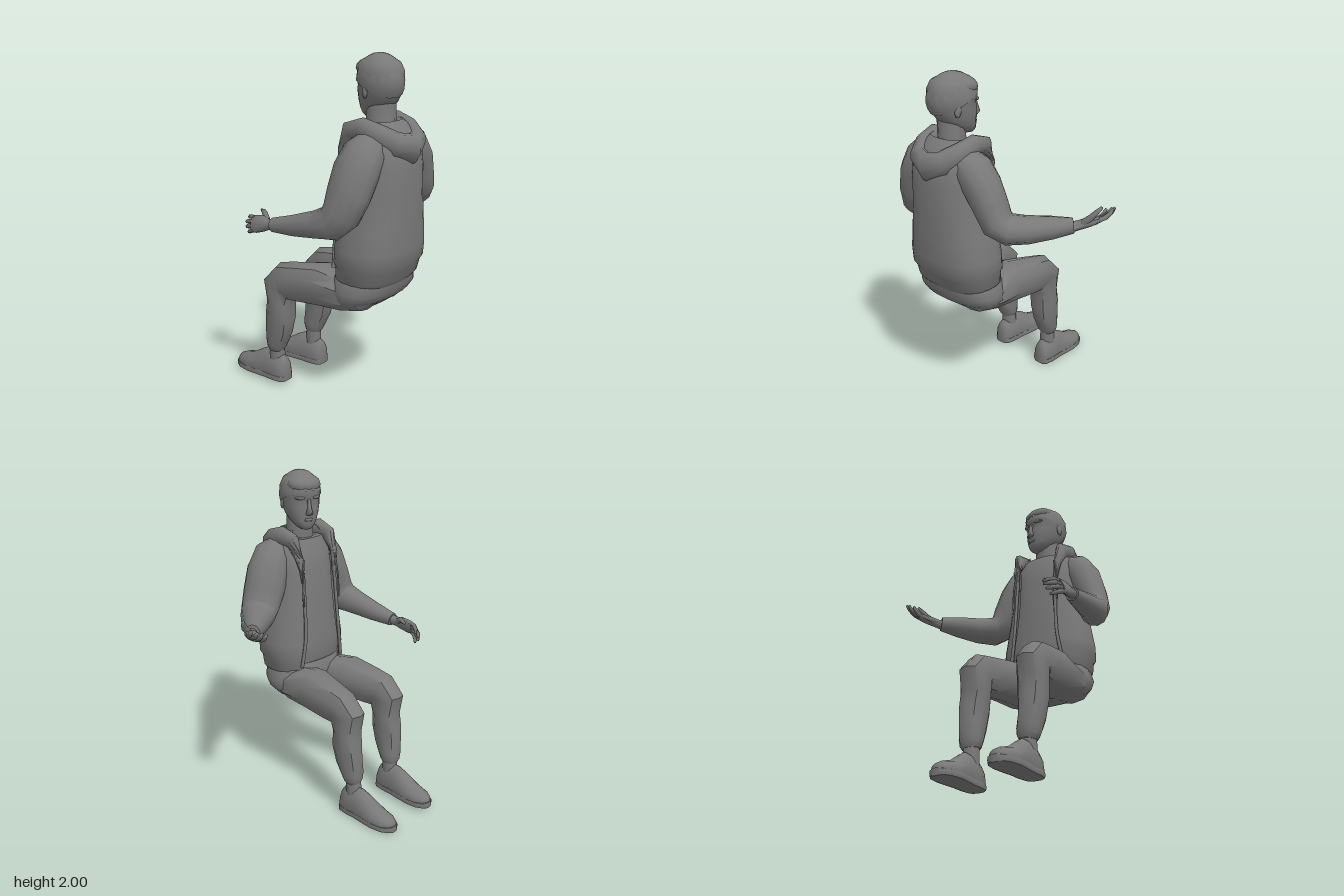
import * as THREE from 'three';
import { toCreasedNormals } from 'three/addons/utils/BufferGeometryUtils.js';

const V = (x, y, z) => new THREE.Vector3(x, y, z);
const CX = -0.18; // body centre line
const material = new THREE.MeshStandardMaterial({ color: 0x797979, side: THREE.DoubleSide });

function mesh(name, geo, crease = 0.8) {
  const m = new THREE.Mesh(toCreasedNormals(geo, crease), material);
  m.name = name;
  return m;
}

// Skin through stations [x, y, z, halfWidth, halfDepth, gap]; gap leaves the sheet open around angle PI/2.
function loft(stations, { side = V(1, 0, 0), axis = null, n = 12, p = 2, open = false } = {}) {
  const c = stations.map(s => V(s[0], s[1], s[2]));
  const pos = [], idx = [], cols = open ? n + 1 : n;
  stations.forEach((s, i) => {
    const t = axis ? axis.clone() : c[Math.min(i + 1, c.length - 1)].clone().sub(c[Math.max(i - 1, 0)]).normalize();
    const u = side.clone().addScaledVector(t, -side.dot(t)).normalize();
    const v = t.clone().cross(u);
    const gap = open ? s[5] : 0;
    for (let j = 0; j < cols; j++) {
      const a = Math.PI / 2 + gap + (j / n) * (2 * Math.PI - 2 * gap);
      const f = k => Math.sign(k) * Math.abs(k) ** (2 / p);
      const q = c[i].clone().addScaledVector(u, s[3] * f(Math.cos(a))).addScaledVector(v, s[4] * f(Math.sin(a)));
      pos.push(q.x, q.y, q.z);
    }
  });
  for (let i = 0; i < c.length - 1; i++) for (let j = 0; j < n; j++) {
    const k = (j + 1) % cols, a = i * cols + j, b = i * cols + k;
    idx.push(a, b, a + cols, b, b + cols, a + cols);
  }
  if (!open) {
    const s = pos.length / 3, e = s - cols;
    pos.push(...c[0].toArray(), ...c[c.length - 1].toArray());
    for (let j = 0; j < n; j++) {
      const k = (j + 1) % n;
      idx.push(s, k, j, s + 1, e + j, e + k);
    }
  }
  const g = new THREE.BufferGeometry();
  g.setAttribute('position', new THREE.Float32BufferAttribute(pos, 3));
  g.setIndex(idx);
  return g;
}

// Upright rings given as [y, halfWidth, zFront, zBack, gap]
const rings = (list, cx = CX, inset = 0) =>
  list.map(([y, w, f, b, gap]) => [cx, y, (f + b) / 2, w - inset, (b - f) / 2 - inset, gap]);
const UP = V(0, 1, 0);

function tube(name, pts, r, seg = 10) {
  return mesh(name, new THREE.TubeGeometry(new THREE.CatmullRomCurve3(pts), seg, r, 6), 1.5);
}

function makeTorso() {
  const g = new THREE.Group();
  g.name = 'torso';
  const body = [[0.775, 0.245, 0.17, 0.495, 0.55], [0.8, 0.268, 0.155, 0.515, 0.55], [0.865, 0.27, 0.15, 0.535, 0.5],
    [0.89, 0.284, 0.145, 0.55, 0.48], [0.97, 0.282, 0.147, 0.558, 0.45], [1.1, 0.26, 0.157, 0.56, 0.42],
    [1.25, 0.235, 0.167, 0.56, 0.42], [1.42, 0.225, 0.185, 0.56, 0.45], [1.52, 0.22, 0.205, 0.545, 0.55],
    [1.6, 0.18, 0.24, 0.51, 0.7], [1.655, 0.12, 0.285, 0.45, 0.9]];
  g.add(mesh('jacket', loft(rings(body), { axis: UP, n: 24, p: 2.4, open: true })));
  g.add(mesh('shirt', loft(rings(body.slice(1, 10), CX, 0.014), { axis: UP, n: 24, p: 2.4 })));
  g.add(mesh('hips', loft(rings([[0.605, 0.15, 0.2, 0.32], [0.635, 0.235, 0.17, 0.39], [0.68, 0.272, 0.15, 0.45],
    [0.73, 0.28, 0.14, 0.488], [0.79, 0.262, 0.14, 0.495], [0.84, 0.24, 0.16, 0.5]]), { axis: UP, n: 20, p: 2.4 }), 1.0));
  // hood lying round the neck and dropping to a point at the back
  const half = [[0.13, 1.36, 0.185, 0.012, 0.012], [0.145, 1.5, 0.2, 0.025, 0.02], [0.15, 1.605, 0.255, 0.05, 0.036],
    [0.157, 1.625, 0.34, 0.058, 0.045], [0.142, 1.59, 0.43, 0.066, 0.052], [0.092, 1.545, 0.51, 0.072, 0.056]];
  const hood = [...half.map(([d, ...r]) => [CX - d, ...r]), [CX, 1.515, 0.545, 0.085, 0.062],
    ...half.map(([d, ...r]) => [CX + d, ...r]).reverse()];
  g.add(mesh('hood', loft(hood, { side: V(0, 1, 0.25), n: 10 }), 1.0));
  for (const s of [-1, 1]) {
    // front edge and drawstring
    g.add(tube('jacketEdge', [V(CX + s * 0.13, 1.42, 0.187), V(CX + s * 0.135, 1.2, 0.167),
      V(CX + s * 0.145, 1.0, 0.153), V(CX + s * 0.17, 0.83, 0.16)], 0.011));
    g.add(tube('drawstring', [V(CX + s * 0.13, 1.5, 0.18), V(CX + s * 0.15, 1.36, 0.17), V(CX + s * 0.15, 1.22, 0.16)], 0.006, 6));
  }
  const collar = new THREE.TorusGeometry(0.085, 0.014, 6, 16).rotateX(Math.PI / 2 - 0.25).translate(CX, 1.605, 0.345);
  g.add(mesh('shirtCollar', collar, 1.5));
  return g;
}

function makeHead() {
  const g = new THREE.Group();
  g.name = 'head';
  g.position.set(CX, 0, 0.345);
  g.rotation.y = -0.35;
  g.add(mesh('neck', loft([[0, 1.52, 0.03, 0.1, 0.09], [0, 1.62, 0.01, 0.082, 0.078], [0, 1.77, 0.01, 0.078, 0.08]], { axis: UP, n: 12 })));
  g.add(mesh('face', loft(rings([[1.662, 0.03, -0.115, -0.05], [1.68, 0.055, -0.128, 0], [1.71, 0.078, -0.13, 0.05],
    [1.75, 0.096, -0.132, 0.095], [1.8, 0.108, -0.134, 0.125], [1.835, 0.112, -0.127, 0.135], [1.86, 0.116, -0.138, 0.14],
    [1.91, 0.114, -0.135, 0.138], [1.955, 0.095, -0.11, 0.115], [1.98, 0.05, -0.06, 0.07]], 0), { axis: UP, n: 16, p: 2.2 }), 1.0));
  const hair = new THREE.SphereGeometry(1, 14, 8, 0, Math.PI * 2, 0, Math.PI * 0.56).scale(0.122, 0.141, 0.148).rotateX(0.42);
  g.add(mesh('hair', hair.translate(0, 1.859, 0), 1.0));
  g.add(mesh('fringe', new THREE.SphereGeometry(1, 12, 8).scale(0.104, 0.055, 0.085).rotateX(-0.2).translate(0, 1.925, -0.058), 1.0));
  // nose widens from bridge to tip
  g.add(mesh('nose', loft([[0, 1.752, -0.132, 0.02, 0.014], [0, 1.765, -0.138, 0.02, 0.026],
    [0, 1.8, -0.133, 0.012, 0.02], [0, 1.845, -0.128, 0.01, 0.012]], { axis: UP, n: 6 }), 1.5));
  g.add(mesh('lips', new THREE.SphereGeometry(1, 8, 5).scale(0.03, 0.011, 0.01).translate(0, 1.722, -0.127), 1.5));
  for (const s of [-1, 1]) {
    g.add(mesh('ear', new THREE.SphereGeometry(1, 8, 6).scale(0.01, 0.034, 0.02).rotateX(-0.2).translate(s * 0.109, 1.805, 0.015), 1.5));
    g.add(mesh('brow', new THREE.SphereGeometry(1, 8, 5).scale(0.034, 0.01, 0.012).rotateY(s * -0.4).translate(s * 0.052, 1.852, -0.12), 1.5));
  }
  return g;
}

// One hand: fingers along local +z, palm facing +y, thumb on the given side; curl bends the fingers
function makeHand(wrist, forward, palm, thumb, curl) {
  const g = new THREE.Group();
  g.name = 'hand';
  const f = forward.clone().normalize();
  const x = palm.clone().cross(f).normalize();
  g.matrix.makeBasis(x, f.clone().cross(x), f).setPosition(wrist);
  g.matrix.decompose(g.position, g.quaternion, g.scale);
  g.add(mesh('palm', loft([[0, 0, -0.04, 0.032, 0.03], [0, 0, 0.01, 0.031, 0.027], [thumb * 0.004, 0.002, 0.05, 0.047, 0.028],
    [0, 0.002, 0.1, 0.052, 0.024], [0, 0.004, 0.13, 0.045, 0.016]], { n: 10 }), 1.0));
  [0.093, 0.112, 0.105, 0.08].forEach((len, i) => {
    const k = thumb * (1.5 - i), z = 0.112, r = 0.0135;
    g.add(mesh('finger', loft([[k * 0.024, 0, z, r, r], [k * 0.027, curl * 0.2, z + len * 0.45, r, r],
      [k * 0.028, curl * 0.6, z + len * 0.8, r * 0.9, r * 0.9], [k * 0.028, curl, z + len, r * 0.55, r * 0.55]], { n: 6 }), 1.5));
  });
  g.add(mesh('thumb', loft([[thumb * 0.022, 0.008, 0.03, 0.022, 0.022], [thumb * 0.06, 0.03, 0.068, 0.018, 0.018],
    [thumb * 0.078, 0.052, 0.1, 0.014, 0.014], [thumb * 0.088, 0.07, 0.132, 0.008, 0.008]], { n: 6 }), 1.5));
  return g;
}

function makeArm(name, stations, side, hand) {
  const g = new THREE.Group();
  g.name = name;
  g.add(mesh('sleeve', loft(stations, { side, n: 12 }), 1.0), hand);
  return g;
}

// s = -1 or 1 chooses the side; lift raises the shoe a little
function makeLeg(s, lift) {
  const g = new THREE.Group();
  g.name = s > 0 ? 'leftLeg' : 'rightLeg';
  const at = list => list.map(([d, ...r]) => [CX - 0.004 + s * d, ...r]);
  g.add(mesh('trouserLeg', loft(at([[0.12, 0.715, 0.42, 0.07, 0.045], [0.122, 0.705, 0.36, 0.12, 0.088], [0.135, 0.7, 0.24, 0.135, 0.105],
    [0.15, 0.708, 0.07, 0.122, 0.125], [0.17, 0.687, -0.1, 0.1, 0.118], [0.178, 0.675, -0.19, 0.088, 0.113],
    [0.178, 0.64, -0.228, 0.083, 0.113], [0.178, 0.54, -0.23, 0.084, 0.08], [0.182, 0.45, -0.235, 0.08, 0.09],
    [0.18, 0.35, -0.252, 0.07, 0.083], [0.174, 0.27, -0.275, 0.067, 0.064], [0.172, 0.235, -0.28, 0.06, 0.056],
    [0.17, 0.215, -0.28, 0.048, 0.048]]), { n: 10, p: 2.3 }), 0.7));
  g.add(mesh('ankle', loft(at([[0.17, 0.13, -0.285, 0.046, 0.05], [0.17, 0.19, -0.282, 0.046, 0.048],
    [0.17, 0.24, -0.28, 0.043, 0.043]]), { axis: UP, n: 10 })));
  // shoe: [z, top, halfWidth] from heel to toe
  const shoe = [[-0.2, 0.11, 0.035], [-0.215, 0.15, 0.053], [-0.27, 0.178, 0.062], [-0.34, 0.187, 0.062], [-0.4, 0.158, 0.068],
    [-0.48, 0.11, 0.074], [-0.55, 0.09, 0.064], [-0.59, 0.072, 0.04], [-0.605, 0.055, 0.014]];
  const cx = z => 0.172 + (z + 0.2) * 0.02;
  const upper = loft(at(shoe.map(([z, top, w]) => [cx(z), 0.035, z, w, top - 0.035])), { axis: V(0, 0, -1), n: 12 });
  const p = upper.attributes.position;
  for (let i = 0; i < p.count; i++) p.setY(i, Math.max(p.getY(i), 0.01) + lift);
  g.add(mesh('shoe', upper, 1.0));
  g.add(mesh('sole', loft(at(shoe.map(([z, , w]) => [cx(z), 0.02 + lift, z * 1.008, w + 0.005, 0.02])), { axis: V(0, 0, -1), n: 12, p: 5 })));
  return g;
}

export function createModel() {
  const model = new THREE.Group();
  model.name = 'seatedMan';
  model.add(makeTorso(), makeHead(), makeLeg(1, 0), makeLeg(-1, 0.02));
  // arm reaching out with the palm up
  model.add(makeArm('reachingArm', [[-0.06, 1.545, 0.39, 0.09, 0.085], [0.01, 1.5, 0.385, 0.12, 0.11],
    [0.065, 1.42, 0.375, 0.128, 0.108], [0.112, 1.31, 0.36, 0.125, 0.1], [0.15, 1.225, 0.35, 0.117, 0.095],
    [0.2, 1.188, 0.315, 0.107, 0.086], [0.275, 1.185, 0.245, 0.09, 0.078], [0.37, 1.195, 0.15, 0.068, 0.064],
    [0.452, 1.205, 0.072, 0.044, 0.044]], V(0.6, 0, 0.8),
  makeHand(V(0.468, 1.205, 0.055), V(0.12, 0.035, -0.185), V(-0.4, 0.9, 0), -1, 0.045)));
  // arm held forward with the palm turned inward
  model.add(makeArm('forwardArm', [[-0.3, 1.545, 0.39, 0.085, 0.09], [-0.37, 1.5, 0.385, 0.11, 0.12],
    [-0.425, 1.42, 0.375, 0.108, 0.128], [-0.47, 1.3, 0.36, 0.096, 0.125], [-0.5, 1.2, 0.335, 0.09, 0.11],
    [-0.516, 1.145, 0.28, 0.086, 0.095], [-0.53, 1.125, 0.19, 0.074, 0.076], [-0.543, 1.095, 0.04, 0.058, 0.058],
    [-0.55, 1.075, -0.1, 0.04, 0.04]], V(1, 0, 0),
  makeHand(V(-0.552, 1.072, -0.125), V(-0.015, -0.03, -0.25), V(0.92, -0.35, 0), 1, 0.065)));
  return model;
}
